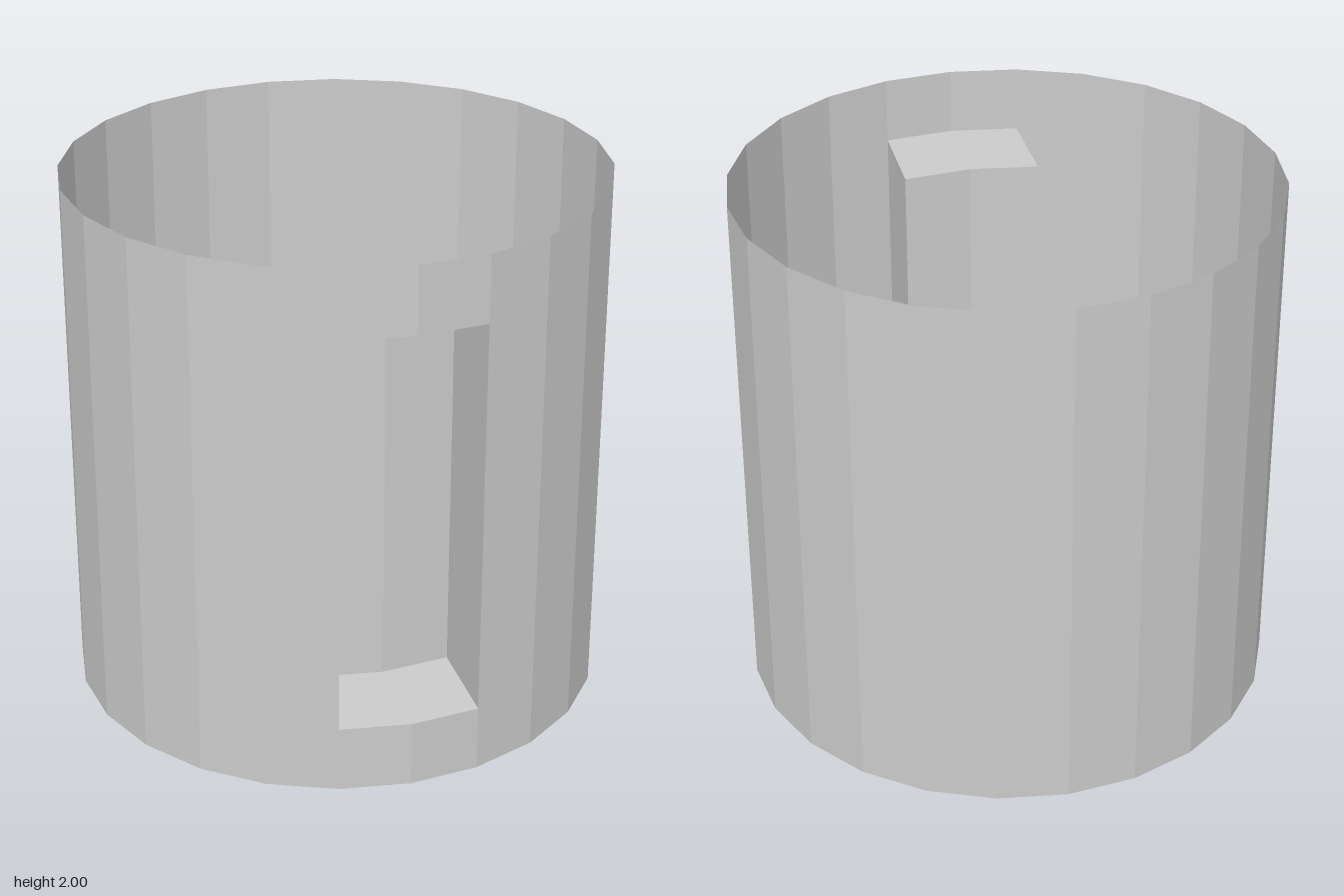
import * as THREE from 'three';

const SIDES = 24, STEP = (Math.PI * 2) / SIDES;
const HEIGHT = 2, SILL = 0.25, OPENING = HEIGHT - 2 * SILL, DEPTH = 0.366;

export function createModel() {
  const group = new THREE.Group();
  const material = new THREE.MeshStandardMaterial({
    color: 0xcccccc, flatShading: true, side: THREE.DoubleSide,
  });

  const add = (name, geometry, x, y, z) => {
    const mesh = new THREE.Mesh(geometry, material);
    mesh.name = name;
    mesh.position.set(x, y, z);
    group.add(mesh);
  };
  // Open band of the faceted wall, starting at a given facet (0 is the front)
  const band = (height, first, count) => new THREE.CylinderGeometry(
    1, 1, height, count, 1, true, first * STEP, count * STEP);

  // Thin tube wall, leaving out the two front facets
  add('tubeWall', band(HEIGHT, 1, SIDES - 2), 0, HEIGHT / 2, 0);

  // Wall strips below and above the recess
  add('wallBelowRecess', band(SILL, -1, 2), 0, SILL / 2, 0);
  add('wallAboveRecess', band(SILL, -1, 2), 0, HEIGHT - SILL / 2, 0);

  // Back of the recess: the two facets pushed straight inward
  add('recessBack', band(OPENING, -1, 2), 0, HEIGHT / 2, -DEPTH);

  // Recess side walls
  const edgeX = Math.sin(STEP), edgeZ = Math.cos(STEP);
  for (const side of [-1, 1]) {
    const wall = new THREE.PlaneGeometry(DEPTH, OPENING).rotateY(-side * Math.PI / 2);
    add(side > 0 ? 'recessLeftSide' : 'recessRightSide', wall,
      side * edgeX, HEIGHT / 2, edgeZ - DEPTH / 2);
  }

  // Chevron-shaped recess floor and ceiling
  const outline = new THREE.Shape([
    [-edgeX, edgeZ - DEPTH], [0, 1 - DEPTH], [edgeX, edgeZ - DEPTH],
    [edgeX, edgeZ], [0, 1], [-edgeX, edgeZ],
  ].map(([x, z]) => new THREE.Vector2(x, z)));
  const ceiling = new THREE.ShapeGeometry(outline).rotateX(Math.PI / 2);
  // Mirror-symmetric in x, so a half turn plus a flip gives an upward-facing floor
  const floor = ceiling.clone().scale(-1, 1, 1);
  floor.computeVertexNormals();
  add('recessFloor', floor, 0, SILL, 0);
  add('recessCeiling', ceiling, 0, HEIGHT - SILL, 0);

  return group;
}
